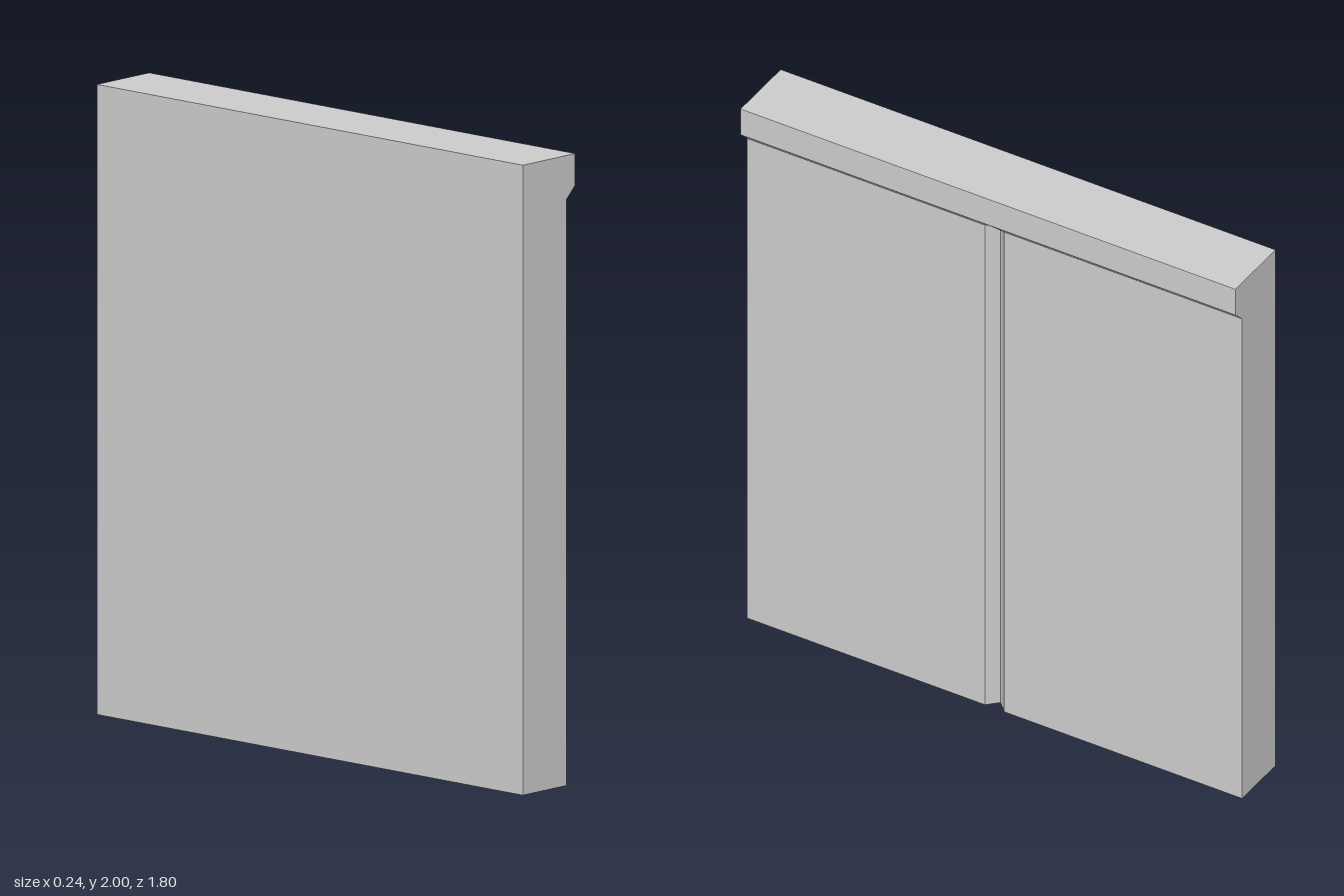
import * as THREE from 'three';

// Key dimensions
const BACK = -0.12, FACE = 0.08, LIP = 0.12, HALF = 0.9, TOP = 2;
const CHAMFER_Y = 1.86, LIP_Y = 1.9;
const G = 0.035, GROOVE_TOP = CHAMFER_Y + G; // half diagonal of the diamond-shaped groove

// Builds flat faces from polygons (counter-clockwise from outside) and mirrors them across z = 0
function mirroredFaces(faces) {
  const pos = [];
  for (const f of faces) {
    for (let i = 1; i < f.length - 1; i++) {
      pos.push(...f[0], ...f[i], ...f[i + 1]);
      for (const [x, y, z] of [f[0], f[i + 1], f[i]]) pos.push(x, y, -z);
    }
  }
  const geo = new THREE.BufferGeometry();
  geo.setAttribute('position', new THREE.Float32BufferAttribute(pos, 3));
  geo.computeVertexNormals();
  return geo;
}

export function createModel() {
  const group = new THREE.Group();
  group.name = 'wallPanel';
  const material = new THREE.MeshStandardMaterial({ color: 0xcccccc, flatShading: true });

  const add = (name, faces) => {
    const mesh = new THREE.Mesh(mirroredFaces(faces), material);
    mesh.name = name;
    group.add(mesh);
  };

  // Flat sides of the slab, with the lip profile on both ends
  add('slab', [
    [[FACE, CHAMFER_Y, HALF], [LIP, LIP_Y, HALF], [LIP, TOP, HALF],
      [BACK, TOP, HALF], [BACK, 0, HALF], [FACE, 0, HALF]],
    [[FACE, 0, HALF], [FACE, 0, G], [FACE, CHAMFER_Y, G], [FACE, CHAMFER_Y, HALF]],
    [[BACK, 0, 0], [BACK, 0, HALF], [BACK, TOP, HALF], [BACK, TOP, 0]],
    [[BACK, 0, HALF], [BACK, 0, 0], [FACE - G, 0, 0], [FACE, 0, G], [FACE, 0, HALF]],
  ]);

  // Overhanging lip along the top, chamfered underneath
  add('topLip', [
    [[FACE, CHAMFER_Y, HALF], [FACE, CHAMFER_Y, G], [FACE + G, GROOVE_TOP, 0],
      [LIP, LIP_Y, 0], [LIP, LIP_Y, HALF]],
    [[LIP, LIP_Y, HALF], [LIP, LIP_Y, 0], [LIP, TOP, 0], [LIP, TOP, HALF]],
    [[BACK, TOP, 0], [BACK, TOP, HALF], [LIP, TOP, HALF], [LIP, TOP, 0]],
  ]);

  // Central V groove, its notch into the chamfer, and its flat upper end
  add('centreGroove', [
    [[FACE, 0, G], [FACE - G, 0, 0], [FACE - G, GROOVE_TOP, 0], [FACE, GROOVE_TOP, G]],
    [[FACE, CHAMFER_Y, G], [FACE, GROOVE_TOP, G], [FACE + G, GROOVE_TOP, 0]],
    [[FACE - G, GROOVE_TOP, 0], [FACE + G, GROOVE_TOP, 0], [FACE, GROOVE_TOP, G]],
  ]);

  return group;
}
